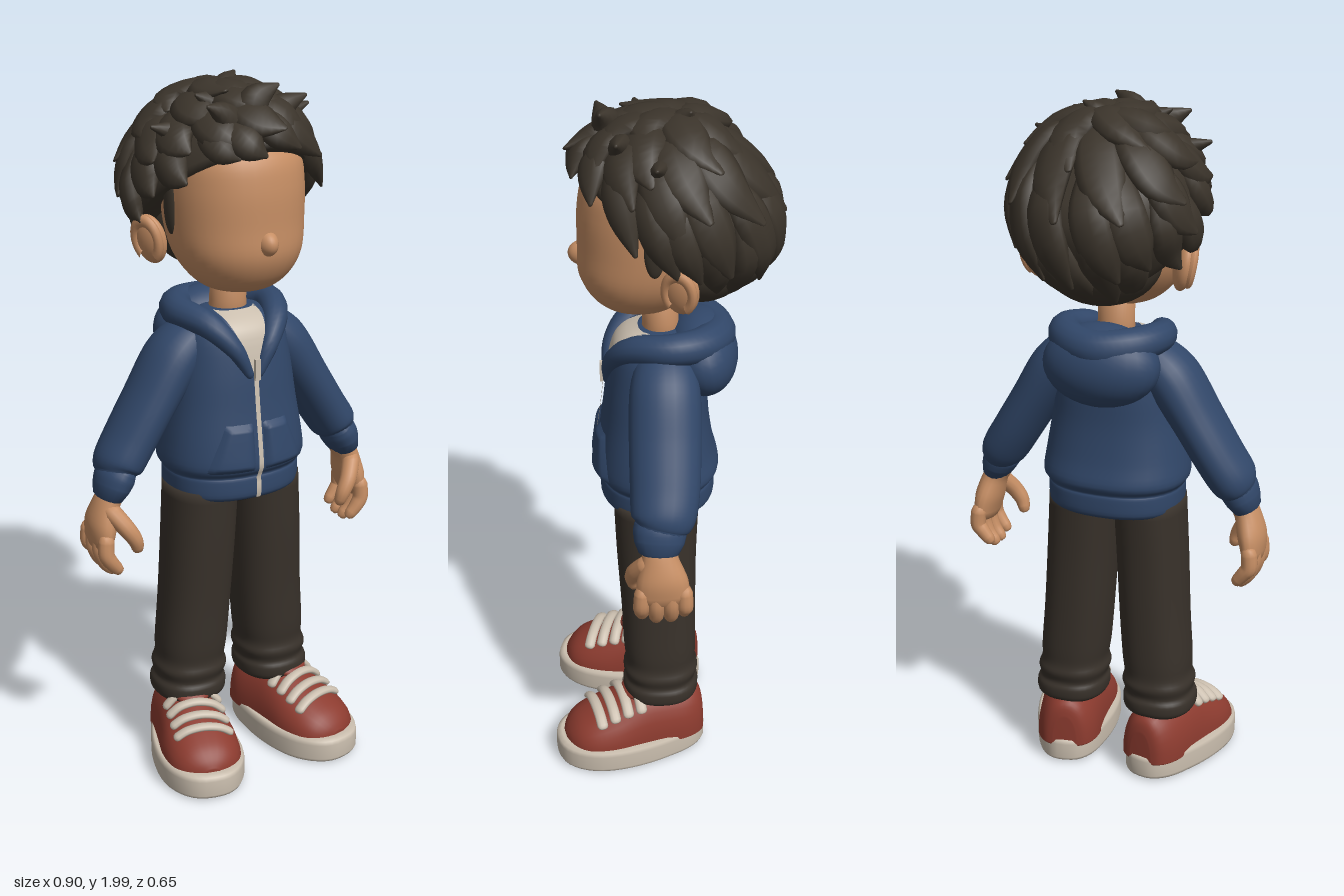
import * as THREE from 'three';
import { mergeGeometries } from 'three/addons/utils/BufferGeometryUtils.js';

const V = (x, y, z) => new THREE.Vector3(x, y, z);
const mat = (name, color) => new THREE.MeshStandardMaterial({ name, color });

// Catmull-Rom smoothing of a table of numbers, row by row
function smooth(rows, per = 5) {
  const out = [], last = rows.length - 1;
  for (let i = 0; i < last; i++) {
    const [A, B, C, D] = [Math.max(i - 1, 0), i, i + 1, Math.min(i + 2, last)].map(k => rows[k]);
    for (let s = 0; s < per; s++) {
      const t = s / per;
      out.push(B.map((b, k) => 0.5 * (2 * b + (C[k] - A[k]) * t + (2 * A[k] - 5 * b + 4 * C[k] - D[k]) * t * t
        + (3 * b - A[k] - 3 * C[k] + D[k]) * t * t * t)));
    }
  }
  out.push(rows[last]);
  return out;
}

// Row of a table at a given value of its first column
function lookup(rows, key) {
  let i = 0;
  while (i < rows.length - 2 && rows[i + 1][0] < key) i++;
  const t = THREE.MathUtils.clamp((key - rows[i][0]) / (rows[i + 1][0] - rows[i][0]), 0, 1);
  return rows[i].map((a, k) => a + (rows[i + 1][k] - a) * t);
}

// Closed skin over rings of points, with a fan at each end
function skin(rings) {
  const n = rings[0].length, m = rings.length, pos = [], idx = [];
  rings.forEach(r => r.forEach(p => pos.push(p.x, p.y, p.z)));
  for (let i = 0; i < m - 1; i++) for (let j = 0; j < n; j++) {
    const a = i * n + j, b = i * n + (j + 1) % n;
    idx.push(a, b, b + n, a, b + n, a + n);
  }
  [0, m - 1].forEach((i, end) => {
    const c = V(0, 0, 0);
    rings[i].forEach(p => c.addScaledVector(p, 1 / n));
    pos.push(c.x, c.y, c.z);
    for (let j = 0; j < n; j++) {
      const a = i * n + j, b = i * n + (j + 1) % n;
      idx.push(m * n + end, end ? a : b, end ? b : a);
    }
  });
  return finish(pos, idx);
}

function finish(pos, idx) {
  const g = new THREE.BufferGeometry();
  g.setAttribute('position', new THREE.Float32BufferAttribute(pos, 3));
  g.setIndex(idx);
  g.computeVertexNormals();
  return g;
}

const circle = (n, f) => Array.from({ length: n }, (_, j) => f(j / n * Math.PI * 2));
const pw = (v, e) => Math.sign(v) * Math.abs(v) ** e;

// Upright body from rows [y, cx, cz, rx, rz]
const stack = (rows, e = 2) => skin(rows.map(([y, cx, cz, rx, rz]) =>
  circle(36, a => V(cx + rx * pw(Math.sin(a), 2 / e), y, cz + rz * pw(Math.cos(a), 2 / e)))));

// Round-ended limb from rows [x, y, z, ru, rv]; ru lies along ref
function limb(table, ref, per = 5, sides = 12) {
  const rows = smooth(table, per), m = rows.length, rings = [];
  const ring = (i, k, shift) => {
    const p = r => V(r[0], r[1], r[2]);
    const d = p(rows[Math.min(i + 1, m - 1)]).sub(p(rows[Math.max(i - 1, 0)])).normalize();
    const u = ref.clone().addScaledVector(d, -ref.dot(d)).normalize(), v = d.clone().cross(u);
    const [, , , ru, rv] = rows[i];
    rings.push(circle(sides, a => p(rows[i]).addScaledVector(u, k * ru * Math.cos(a))
      .addScaledVector(v, k * rv * Math.sin(a)).addScaledVector(d, shift * Math.min(ru, rv))));
  };
  [[0.4, -0.92], [0.8, -0.6]].forEach(([k, s]) => ring(0, k, s));
  rows.forEach((_, i) => ring(i, 1, 0));
  [[0.8, 0.6], [0.4, 0.92]].forEach(([k, s]) => ring(m - 1, k, s));
  return skin(rings);
}

const ball = (x, y, z, rx, ry, rz) => new THREE.SphereGeometry(1, 28, 20).scale(rx, ry, rz).translate(x, y, z);

function mirrored(geo) {
  const g = geo.clone().scale(-1, 1, 1), a = g.index.array;
  for (let i = 0; i < a.length; i += 3) [a[i], a[i + 1]] = [a[i + 1], a[i]];
  g.computeVertexNormals();
  return g;
}

export function createModel() {
  const model = new THREE.Group();
  model.name = 'boy';
  const skinTone = mat('skin', 0xc68e64), hairBrown = mat('hair brown', 0x3b342b), navy = mat('hoodie blue', 0x314769);
  const trouser = mat('trouser brown', 0x38312a), red = mat('shoe red', 0x8c3b2f), cream = mat('cream', 0xcbbfaf);
  const add = (name, geo, m) => {
    const mesh = new THREE.Mesh(geo, m);
    mesh.name = name;
    model.add(mesh);
  };
  const pair = (name, geo, m) => { add('left ' + name, geo, m); add('right ' + name, mirrored(geo), m); };
  const Z = V(0, 0, 1), Y = V(0, 1, 0);

  // Head
  add('head', stack(smooth([[1.425, 0, 0.06, 0.05, 0.06], [1.44, 0, 0.062, 0.1, 0.1], [1.48, 0, 0.06, 0.145, 0.142],
    [1.54, 0, 0.048, 0.176, 0.18], [1.62, 0, 0.033, 0.188, 0.195], [1.72, 0, 0.028, 0.19, 0.197],
    [1.8, 0, 0.02, 0.178, 0.185], [1.87, 0, 0, 0.12, 0.14]]), 2.15), skinTone);
  add('neck', stack([[1.3, 0, 0.005, 0.06, 0.055], [1.38, 0, 0.005, 0.052, 0.05], [1.47, 0, 0.01, 0.052, 0.05]]), skinTone);
  add('nose', ball(0, 1.578, 0.208, 0.03, 0.036, 0.045), skinTone);
  const ear = g => g.rotateY(-0.45).rotateZ(-0.2).translate(0.213, 1.562, -0.042);
  pair('ear', ear(ball(0, 0, 0, 0.028, 0.07, 0.05)), skinTone);
  pair('ear rim', ear(new THREE.TorusGeometry(0.038, 0.013, 10, 24, 5).rotateZ(-0.9).scale(1, 1.4, 1)
    .rotateY(Math.PI / 2).translate(0.016, 0.004, 0)), skinTone);

  // Hair: a cap that ends at the hairline, covered by swept locks; the crown leans forward
  const hairPoint = (a, f, k) => {
    const t = Math.abs(Math.atan2(Math.sin(a), Math.cos(a))) / Math.PI;
    const polar = f * (62 + 96 * t * t * (3 - 2 * t)) * Math.PI / 180;
    const lean = 1 + 0.48 * Math.max(0, Math.cos(polar)) * Math.cos(a);
    return V(0.25 * k * Math.sin(polar) * Math.sin(a), 1.71 + 0.25 * k * Math.cos(polar),
      -0.05 + 0.26 * k * Math.sin(polar) * Math.cos(a) * lean);
  };
  const capRings = [[1, 0.7]];
  for (let f = 0.98; f > 0.02; f -= 0.08) capRings.push([f, 0.97]);
  add('hair cap', skin(capRings.map(([f, k]) => circle(48, a => hairPoint(a, f, k)))), hairBrown);
  add('hair nape', ball(0, 1.575, -0.1, 0.168, 0.125, 0.145), hairBrown);
  pair('sideburn', ball(0.183, 1.67, 0.025, 0.018, 0.085, 0.03), hairBrown);
  let seed = 7;
  const rnd = () => (seed = (seed * 16807) % 2147483647) / 2147483647;
  const lock = (p, w, th) => {
    const size = [0.6, 1, 0.9, 0.15], out = p[1].clone().sub(V(0, 1.71, -0.05)).normalize();
    return limb(p.map((q, i) => [q.x, q.y, q.z, th * size[i], w * size[i]]), out, 4, 9);
  };
  const locks = [];
  [[0.36, 7, 0.062], [0.58, 10, 0.064], [0.8, 13, 0.058], [1, 17, 0.048]].forEach(([end, count, w], row) => {
    for (let i = 0; i < count; i++) {
      const a = (i + 0.5 * (row % 2) + 0.4 * (rnd() - 0.5)) / count * Math.PI * 2;
      const low = row === 3 && Math.cos(a) < -0.3 ? 0.06 : 0;
      const e = end + 0.1 * (rnd() - 0.5), tip = 1.03 + 0.12 * rnd() - low, sw = 0.3 / (row + 1) + 0.14;
      locks.push(lock([hairPoint(a - sw, e - 0.42, 0.94), hairPoint(a - sw * 0.6, e - 0.26, 0.98),
        hairPoint(a, e - 0.1, 1.02 - low), hairPoint(a + sw * 0.7, e + 0.02, tip)], w, 0.031));
    }
  });
  // Upright curls at the fringe and crown
  [[0.01, 0.13, 0.05, 0.03, 1.98], [-0.09, 0.13, -0.06, 0.04, 1.94], [0.1, 0.1, 0.07, 0.02, 1.94],
    [0.03, -0.04, 0.03, -0.03, 1.985], [-0.07, 0.05, -0.06, 0.02, 1.955], [0.16, 0, 0.08, 0.02, 1.9], [-0.16, 0.03, -0.09, 0.02, 1.88]]
    .forEach(([x, z, dx, dz, top]) => locks.push(lock([V(x - dx * 0.6, top - 0.14, z), V(x - dx * 0.5, top - 0.08, z + 0.01),
      V(x, top - 0.03, z + dz * 0.5), V(x + dx, top, z + dz)], 0.044, 0.036)));
  add('hair locks', mergeGeometries(locks), hairBrown);

  // Hoodie body with hem band
  const torso = smooth([[0.835, 0, 0.015, 0.185, 0.15], [0.85, 0, 0.015, 0.196, 0.163], [0.895, 0, 0.015, 0.198, 0.163],
    [0.908, 0, 0.015, 0.197, 0.16], [0.935, 0, 0.015, 0.212, 0.176], [1.0, 0, 0.02, 0.205, 0.165],
    [1.1, 0, 0.02, 0.188, 0.15], [1.2, 0, 0.015, 0.175, 0.142], [1.3, 0, 0.01, 0.158, 0.126],
    [1.34, 0, 0.008, 0.128, 0.098], [1.362, 0, 0.005, 0.065, 0.055]], 4);
  add('hoodie body', stack(torso, 2.3), navy);
  const torsoZ = (x, y) => {
    const [, , cz, rx, rz] = lookup(torso, y);
    return cz + rz * Math.max(0, 1 - Math.abs(x / rx) ** 2.3) ** (1 / 2.3);
  };
  // Thin panel draped over the chest; corners run anticlockwise from bottom left
  const drape = ([a, b, c, d], lift, puff = 0) => {
    const nu = 10, nv = 24, pos = [], idx = [], mix = THREE.MathUtils.lerp;
    for (let j = 0; j <= nv; j++) for (let i = 0; i <= nu; i++) {
      const u = i / nu, v = j / nv;
      const [x, y] = [0, 1].map(k => mix(mix(a[k], b[k], u), mix(d[k], c[k], u), v));
      pos.push(x, y, torsoZ(x, y) + lift + puff * Math.min(1, 8 * Math.min(u, 1 - u, v, 1 - v)));
      const q = j * (nu + 1) + i;
      if (i < nu && j < nv) idx.push(q, q + 1, q + nu + 2, q, q + nu + 2, q + nu + 1);
    }
    return finish(pos, idx);
  };
  add('shirt', drape([[-0.004, 1.2], [0.004, 1.2], [0.064, 1.361], [-0.064, 1.361]], 0.005), cream);
  add('zip', drape([[-0.007, 0.842], [0.007, 0.842], [0.007, 1.21], [-0.007, 1.21]], 0.006), cream);
  add('zip pull', new THREE.BoxGeometry(0.016, 0.06, 0.009).translate(0, 1.215, 0.17), cream);
  pair('pocket', drape([[0.014, 0.925], [0.155, 0.925], [0.095, 1.065], [0.014, 1.065]], -0.002, 0.015), navy);

  // Hood lying on the back and its rolled collar
  add('hood', ball(0, 0, 0, 0.17, 0.118, 0.102).rotateX(0.2).translate(0, 1.28, -0.108), navy);
  const half = [[0.016, 1.2, 0.152, 0.014, 0.014], [0.056, 1.275, 0.14, 0.026, 0.026], [0.106, 1.335, 0.083, 0.037, 0.037],
    [0.138, 1.35, -0.02, 0.044, 0.044], [0.095, 1.345, -0.11, 0.05, 0.05]];
  add('hood collar', limb([...half, [0, 1.335, -0.15, 0.054, 0.054],
    ...half.slice().reverse().map(([x, ...r]) => [-x, ...r])], Y, 6, 14), navy);

  // Arms
  pair('sleeve', limb([[0.12, 1.285, -0.003, 0.085, 0.065], [0.175, 1.23, -0.002, 0.097, 0.076], [0.247, 1.12, 0, 0.098, 0.07],
    [0.31, 1.02, 0.002, 0.095, 0.068], [0.352, 0.955, 0.008, 0.088, 0.066], [0.366, 0.928, 0.014, 0.07, 0.052]], Z, 6, 24), navy);
  pair('cuff', limb([[0.356, 0.94, 0.017, 0.07, 0.048], [0.368, 0.92, 0.018, 0.073, 0.053], [0.381, 0.892, 0.02, 0.068, 0.048]], Z, 4, 20), navy);
  pair('palm', limb([[0.372, 0.89, 0.02, 0.046, 0.037], [0.394, 0.85, 0.018, 0.05, 0.036], [0.411, 0.79, 0.013, 0.07, 0.038],
    [0.418, 0.74, 0.01, 0.073, 0.029]], Z, 5, 18), skinTone);
  [[0.068, 0.014], [0.029, 0], [-0.011, 0.002], [-0.048, 0.02]].forEach(([z, up], i) =>
    pair('finger ' + (i + 1), limb([[0.421, 0.755, z, 0.022, 0.023], [0.423, 0.715, z * 1.03, 0.023, 0.023],
      [0.41, 0.675 + up, z * 1.03, 0.022, 0.021], [0.39, 0.65 + up, z, 0.018, 0.018]], Z), skinTone));
  pair('thumb', limb([[0.395, 0.83, 0.055, 0.027, 0.027], [0.368, 0.79, 0.084, 0.025, 0.025],
    [0.346, 0.755, 0.093, 0.022, 0.022], [0.337, 0.728, 0.09, 0.018, 0.018]], Z), skinTone);

  // Trousers with creases above the ankle
  pair('trouser leg', stack(smooth([[0.19, 0.141, 0.01, 0.09, 0.094], [0.205, 0.141, 0.01, 0.105, 0.11], [0.235, 0.14, 0.01, 0.107, 0.112],
    [0.255, 0.138, 0.01, 0.099, 0.103], [0.285, 0.136, 0.01, 0.106, 0.111], [0.315, 0.134, 0.01, 0.098, 0.104],
    [0.37, 0.13, 0.012, 0.101, 0.107], [0.5, 0.12, 0.015, 0.101, 0.109], [0.68, 0.11, 0.02, 0.101, 0.115],
    [0.86, 0.1, 0.02, 0.1, 0.122]], 4), 2.3), trouser);
  add('trouser seat', stack([[0.805, 0, 0.02, 0.13, 0.085], [0.83, 0, 0.02, 0.18, 0.115], [0.88, 0, 0.02, 0.185, 0.12]], 2.6), trouser);

  // Shoes, turned outwards
  const place = g => g.rotateY(0.22).translate(0.148, 0, 0);
  const soleRing = (y, k) => circle(48, a => {
    const z = 0.105 + 0.228 * k * Math.cos(a);
    return V(pw(Math.sin(a), 0.8) * k * (0.114 + 0.1 * THREE.MathUtils.clamp(z, 0, 0.23)), y, z);
  });
  pair('sole', place(skin([[0, 0.93], [0.006, 0.98], [0.015, 1], [0.06, 1], [0.072, 0.985], [0.078, 0.93]]
    .map(([y, k]) => soleRing(y, k)))), cream);
  const upper = smooth([[-0.116, 0.035, 0.09], [-0.108, 0.06, 0.125], [-0.085, 0.08, 0.145], [-0.04, 0.095, 0.155], [0.05, 0.103, 0.165],
    [0.1, 0.108, 0.155], [0.17, 0.115, 0.122], [0.23, 0.109, 0.095], [0.27, 0.09, 0.073], [0.295, 0.06, 0.048], [0.308, 0.025, 0.025]], 4);
  pair('shoe upper', place(skin(upper.map(([z, w, h]) => circle(28, a =>
    V(w * pw(Math.cos(a), 0.9), 0.06 + (Math.sin(a) > 0 ? h : 0.01) * pw(Math.sin(a), 0.9), z))))), red);
  pair('shoe tongue', place(ball(0, 0, 0, 0.055, 0.02, 0.05).rotateX(0.3).translate(0, 0.218, 0.085)), red);
  [0.092, 0.132, 0.172, 0.212].forEach((z, i) => {
    const pts = [-1, -0.6, 0, 0.6, 1].map(t => {
      const x = t * 0.078, zz = z - 0.004 * t, [, w, h] = lookup(upper, zz);
      return [x, 0.067 + h * (1 - Math.abs(x / w) ** 2.2) ** 0.45, zz, 0.0165, 0.011];
    });
    pair('lace ' + (i + 1), place(limb(pts, Z, 4, 10)), cream);
  });
  return model;
}
